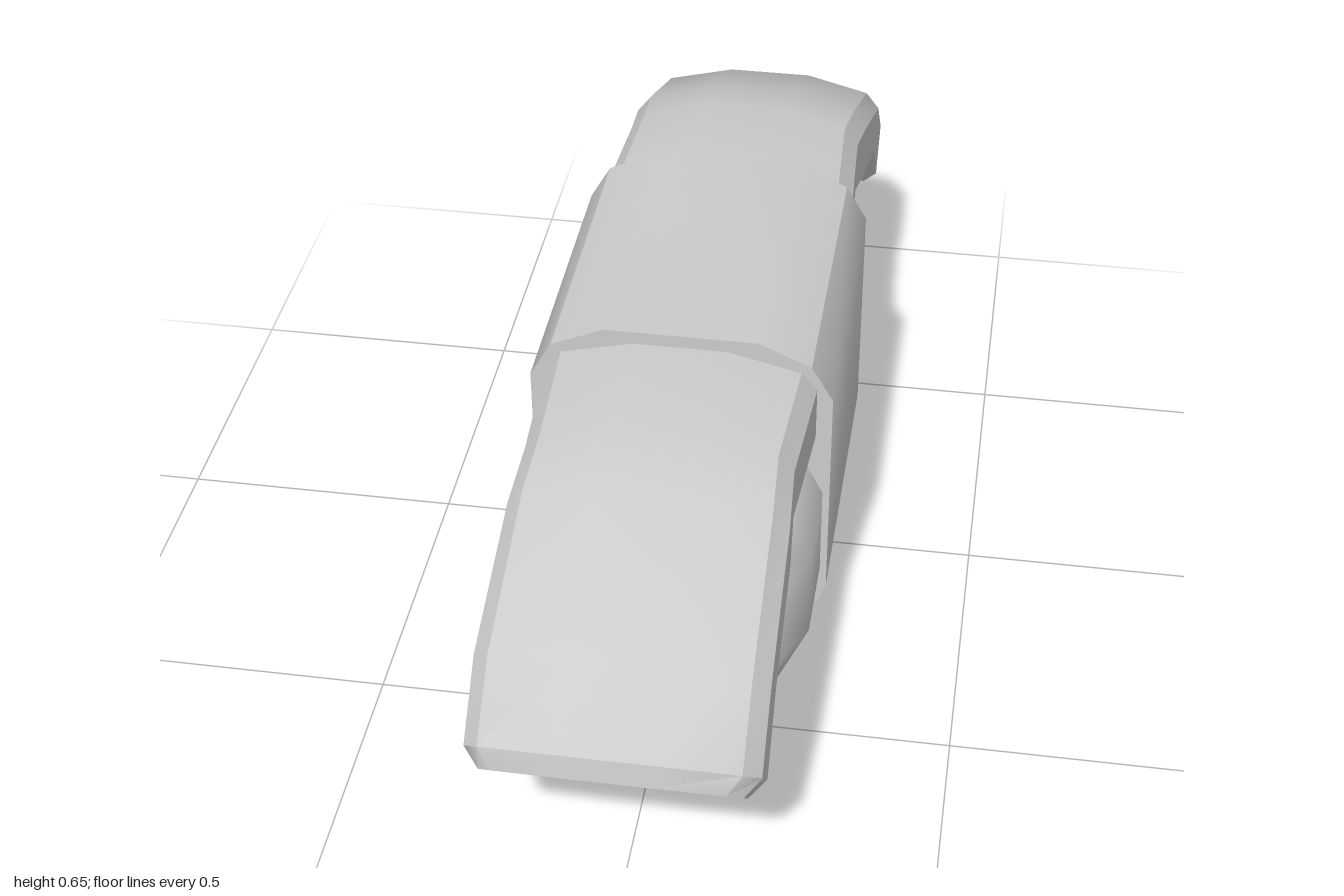
import * as THREE from 'three';
import { toCreasedNormals } from 'three/addons/utils/BufferGeometryUtils.js';

const material = new THREE.MeshStandardMaterial({ color: 0xcccccc });

// Right half of a section, bottom to top, completed with its mirror image
const mirror = (half) => [...half, ...half.map(([x, y]) => [-x, y]).reverse()];

// Closed skin through rings of equal length, ordered from -z to +z
function loft(rings, crease) {
  const n = rings[0].length, index = [];
  const points = rings.flat();
  for (let i = 0; i < rings.length - 1; i++) {
    for (let j = 0; j < n; j++) {
      const k = (j + 1) % n;
      const a = i * n + j, b = i * n + k, c = b + n, d = a + n;
      index.push(a, b, c, a, c, d);
    }
  }
  for (const [i, front] of [[0, false], [rings.length - 1, true]]) {
    const centre = points.length;
    points.push([0, 1, 2].map((c) => rings[i].reduce((s, p) => s + p[c], 0) / n));
    for (let j = 0; j < n; j++) {
      const a = i * n + j, b = i * n + (j + 1) % n;
      index.push(centre, front ? a : b, front ? b : a);
    }
  }
  const geometry = new THREE.BufferGeometry();
  geometry.setAttribute('position', new THREE.Float32BufferAttribute(points.flat(), 3));
  geometry.setIndex(index);
  return toCreasedNormals(geometry, crease);
}

function addPart(group, name, geometry) {
  const mesh = new THREE.Mesh(geometry, material);
  mesh.name = name;
  group.add(mesh);
}

export function createModel() {
  const group = new THREE.Group();
  group.name = 'model';

  // Rounded inner body: one section shrinking toward both ends
  const bodySection = mirror([[0.075, 0.012], [0.195, 0.065], [0.245, 0.18], [0.245, 0.35], [0.195, 0.45], [0.075, 0.49]]);
  const midY = 0.255;
  const bodyStations = [[-0.612, 0.32], [-0.57, 0.79], [-0.44, 1], [0.44, 1], [0.57, 0.79], [0.612, 0.32]];
  addPart(group, 'body', loft(
    bodyStations.map(([z, s]) => bodySection.map(([x, y]) => [x * s, midY + (y - midY) * s, z])), 1.3));

  // Wide band wrapped around the middle
  const bandShape = new THREE.Shape(
    mirror([[0.13, 0], [0.22, 0.045], [0.257, 0.14], [0.257, 0.55], [0.22, 0.615], [0.13, 0.655]])
      .map(([x, y]) => new THREE.Vector2(x, y)));
  const band = new THREE.ExtrudeGeometry(bandShape, { depth: 0.555, bevelEnabled: false });
  band.translate(0, 0, -0.2775);
  addPart(group, 'band', toCreasedNormals(band, 0.6));

  // Arched cover: section as [x, depth], depth 0 on the outer and 1 on the inner line
  const coverSection = mirror([[0.08, 0.9], [0.205, 1], [0.23, 0.9], [0.23, 0.35], [0.203, 0.17], [0.08, 0]]);
  // Stations of one arm: outer z, outer y, inner z, inner y, width factor
  const arm = [
    [0.28, 0.632, 0.28, 0.455, 1],
    [0.5, 0.632, 0.49, 0.455, 0.95],
    [0.62, 0.604, 0.58, 0.43, 0.98],
    [0.89, 0.485, 0.78, 0.365, 1],
    [0.992, 0.39, 0.865, 0.255, 1],
    [1, 0.35, 0.905, 0.25, 0.89],
  ];
  const coverRing = ([z0, y0, z1, y1, w], side) => coverSection.map(([x, t]) =>
    [x * w, y0 + (y1 - y0) * t, side * (z0 + (z1 - z0) * t)]);
  addPart(group, 'archedCover', loft([
    ...arm.map((s) => coverRing(s, -1)).reverse(),
    ...arm.map((s) => coverRing(s, 1)),
  ], 0.55));

  return group;
}
